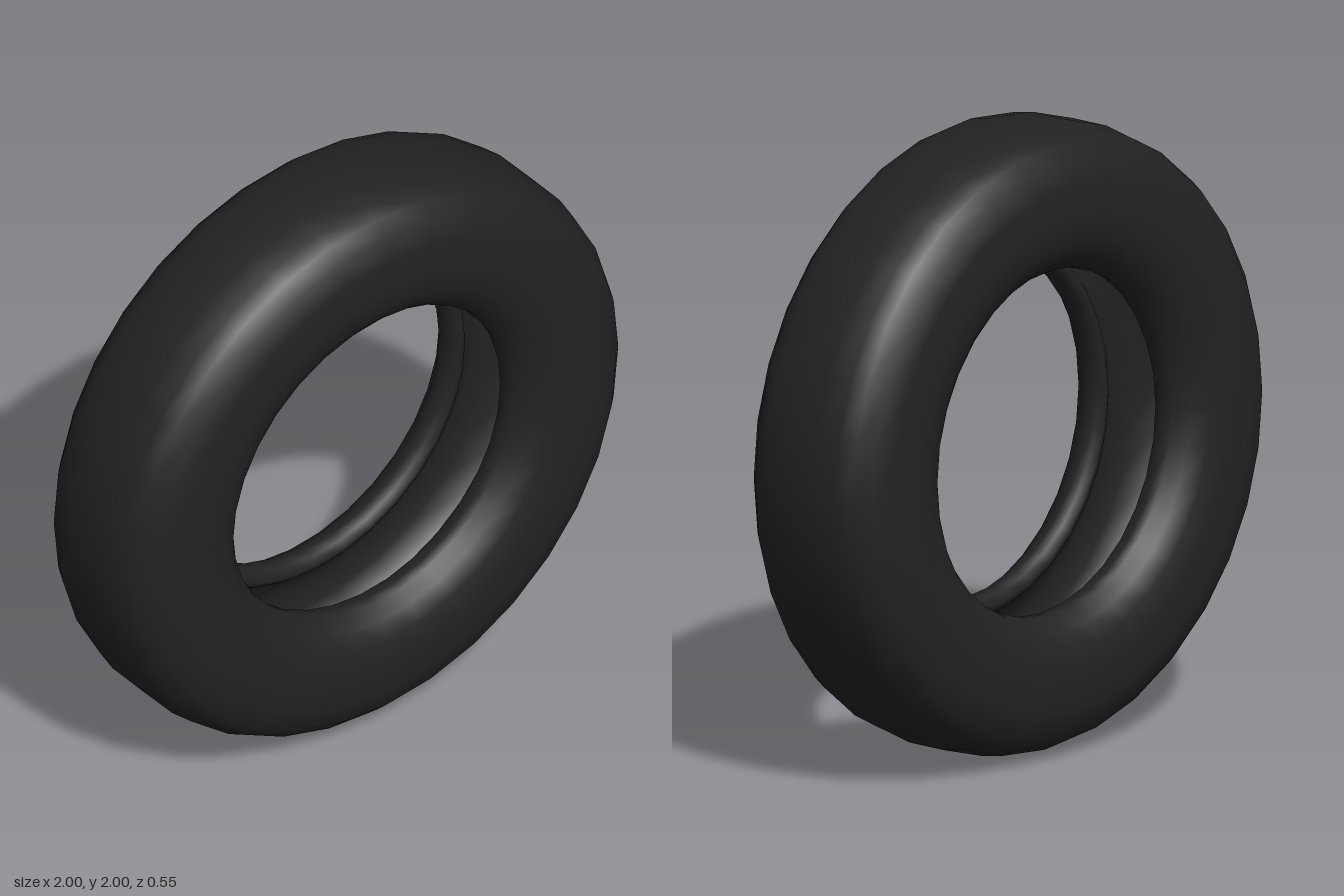
import * as THREE from 'three';

export function createModel() {
  const group = new THREE.Group();
  group.name = 'tire';
  const rubber = new THREE.MeshStandardMaterial({ color: 0x222222 });
  rubber.name = 'black rubber';

  // Half cross-section [radius, offset along the axle]: tread, sidewall, bead, hollow inside
  const half = [
    [1, 0.07], [0.985, 0.15], [0.96, 0.2], [0.915, 0.245], [0.84, 0.268], [0.73, 0.275],
    [0.65, 0.262], [0.592, 0.228], [0.558, 0.185], [0.55, 0.155], [0.556, 0.12], [0.58, 0.1],
    [0.605, 0.115], [0.64, 0.16], [0.72, 0.2], [0.82, 0.195], [0.89, 0.15], [0.92, 0.07],
  ];

  // Closed loop that starts and ends at the middle of the hollow
  const seam = new THREE.Vector2(0.922, 0);
  const profile = [
    seam,
    ...half.slice().reverse().map(([r, z]) => new THREE.Vector2(r, -z)),
    new THREE.Vector2(1, 0),
    ...half.map(([r, z]) => new THREE.Vector2(r, z)),
    seam.clone(),
  ];

  // Tire body, axle turned to lie along z
  const geometry = new THREE.LatheGeometry(profile, 32);
  geometry.rotateX(Math.PI / 2);
  geometry.translate(0, 1, 0);
  const body = new THREE.Mesh(geometry, rubber);
  body.name = 'tireBody';
  group.add(body);
  return group;
}
